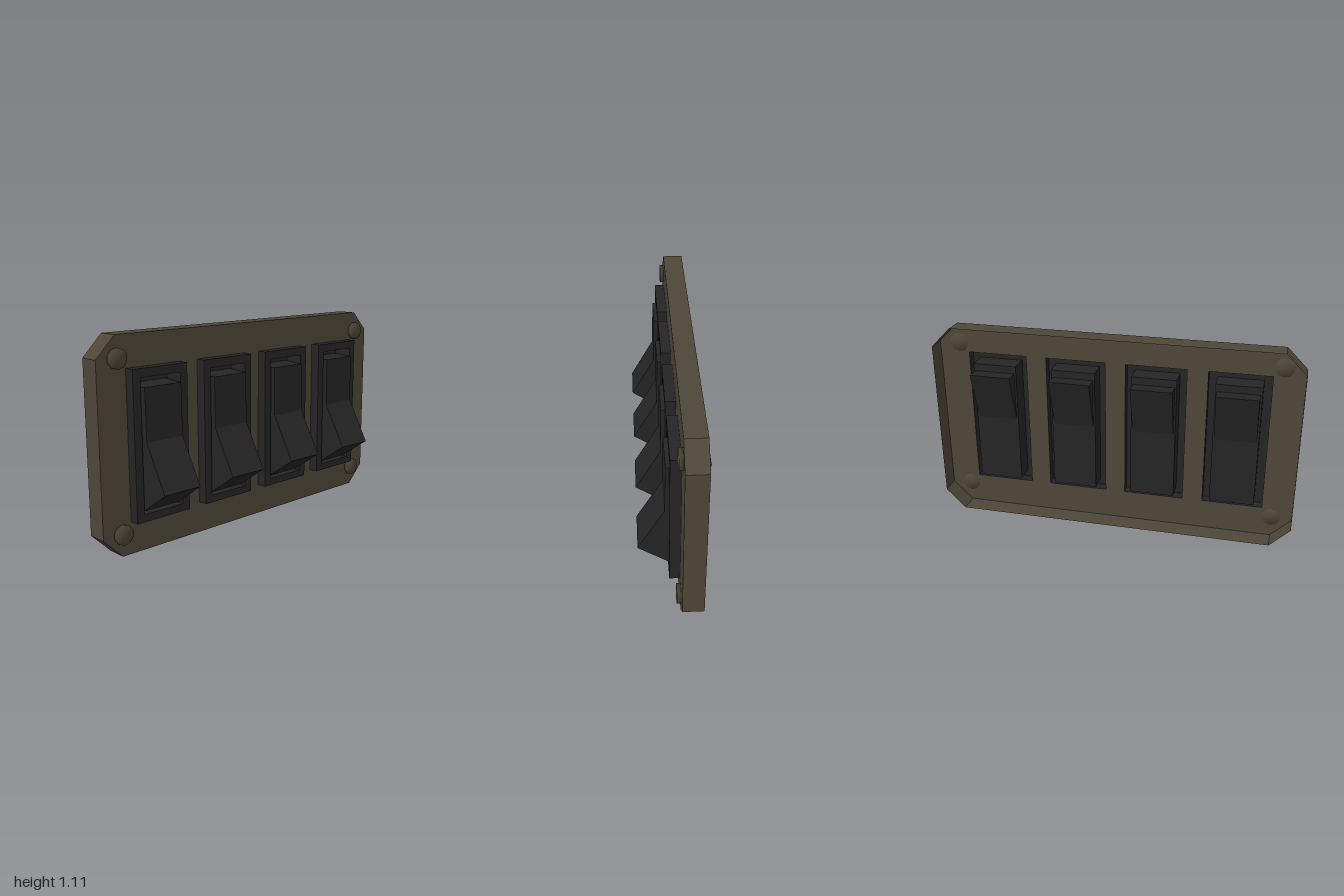
import * as THREE from 'three';
import { mergeVertices } from 'three/addons/utils/BufferGeometryUtils.js';

const brown = new THREE.MeshStandardMaterial({ color: 0x4d4738, side: THREE.DoubleSide });
brown.name = 'panelBrown';
const black = new THREE.MeshStandardMaterial({ color: 0x252525, side: THREE.DoubleSide });
black.name = 'switchBlack';

const PLATE_Z = -0.035, BACK_Z = -0.145, FRAME_Z = 0.02, HOUSING_Z = -0.09;

function mesh(name, geometry, material) {
  const m = new THREE.Mesh(geometry, material);
  m.name = name;
  return m;
}

// Counter-clockwise rectangle corners
function rect(cx, halfWidth, y0, y1) {
  return [[cx - halfWidth, y0], [cx + halfWidth, y0], [cx + halfWidth, y1], [cx - halfWidth, y1]]
    .map(([x, y]) => new THREE.Vector2(x, y));
}

// Flat sheet at depth z, with optional holes
function sheet(points, holes, z) {
  const shape = new THREE.Shape(points);
  holes.forEach(h => shape.holes.push(new THREE.Path(h)));
  return new THREE.ShapeGeometry(shape).translate(0, 0, z);
}

// Open wall following an outline from zBack to zFront
function skirt(points, zBack, zFront) {
  const pos = [];
  points.forEach((a, i) => {
    const b = points[(i + 1) % points.length];
    pos.push(a.x, a.y, zBack, b.x, b.y, zBack, b.x, b.y, zFront);
    pos.push(a.x, a.y, zBack, b.x, b.y, zFront, a.x, a.y, zFront);
  });
  const g = new THREE.BufferGeometry();
  g.setAttribute('position', new THREE.Float32BufferAttribute(pos, 3));
  g.computeVertexNormals();
  return g;
}

// Bolt head with soft shading across its rim
function boltGeometry() {
  const g = new THREE.CylinderGeometry(0.052, 0.052, 0.023, 10).rotateX(Math.PI / 2);
  g.deleteAttribute('normal');
  g.deleteAttribute('uv');
  const smooth = mergeVertices(g);
  smooth.computeVertexNormals();
  return smooth;
}

// Rocker side profile (z, y) swept across its width
function rockerGeometry() {
  const profile = [[0, 0.22], [0.175, 0.34], [0.042, 0.58], [0.038, 0.853],
    [-0.175, 0.863], [-0.085, 0.57], [-0.085, 0.22]];
  const shape = new THREE.Shape(profile.map(([z, y]) => new THREE.Vector2(z, y)));
  return new THREE.ExtrudeGeometry(shape, { depth: 0.224, bevelEnabled: false })
    .translate(0, 0, -0.112).rotateY(-Math.PI / 2);
}

export function createModel() {
  const model = new THREE.Group();
  model.name = 'switchPanel';
  const centres = [-0.667, -0.222, 0.222, 0.667];

  // Panel: chamfered front sheet and a rim, open at the back
  const outline = [[-0.89, 0], [0.89, 0], [1, 0.11], [1, 1], [0.89, 1.11], [-0.89, 1.11], [-1, 1], [-1, 0.11]]
    .map(([x, y]) => new THREE.Vector2(x, y));
  const openings = centres.map(cx => rect(cx, 0.166, 0.17, 0.945));
  model.add(mesh('panelFace', sheet(outline, openings, PLATE_Z), brown));
  model.add(mesh('panelRim', skirt(outline, BACK_Z, PLATE_Z), brown));

  // Corner bolts
  const bolt = boltGeometry();
  for (const x of [-0.887, 0.887]) for (const y of [0.117, 0.997]) {
    const b = mesh('bolt', bolt, brown);
    b.position.set(x, y, -0.0245);
    model.add(b);
  }

  // Four rocker switches
  const outer = rect(0, 0.167, 0.17, 0.945);
  const inner = rect(0, 0.122, 0.21, 0.9);
  const frameFace = sheet(outer, [inner], FRAME_Z);
  const frameWall = skirt(outer, PLATE_Z, FRAME_Z);
  const housingWall = skirt(inner, HOUSING_Z, FRAME_Z);
  const housingBack = sheet(inner, [], HOUSING_Z);
  const rocker = rockerGeometry();
  for (const x of centres) {
    const unit = new THREE.Group();
    unit.name = 'rockerSwitch';
    unit.add(
      mesh('frameFace', frameFace, black),
      mesh('frameWall', frameWall, black),
      mesh('housingWall', housingWall, black),
      mesh('housingBack', housingBack, black),
      mesh('rocker', rocker, black));
    unit.position.x = x;
    model.add(unit);
  }
  return model;
}
